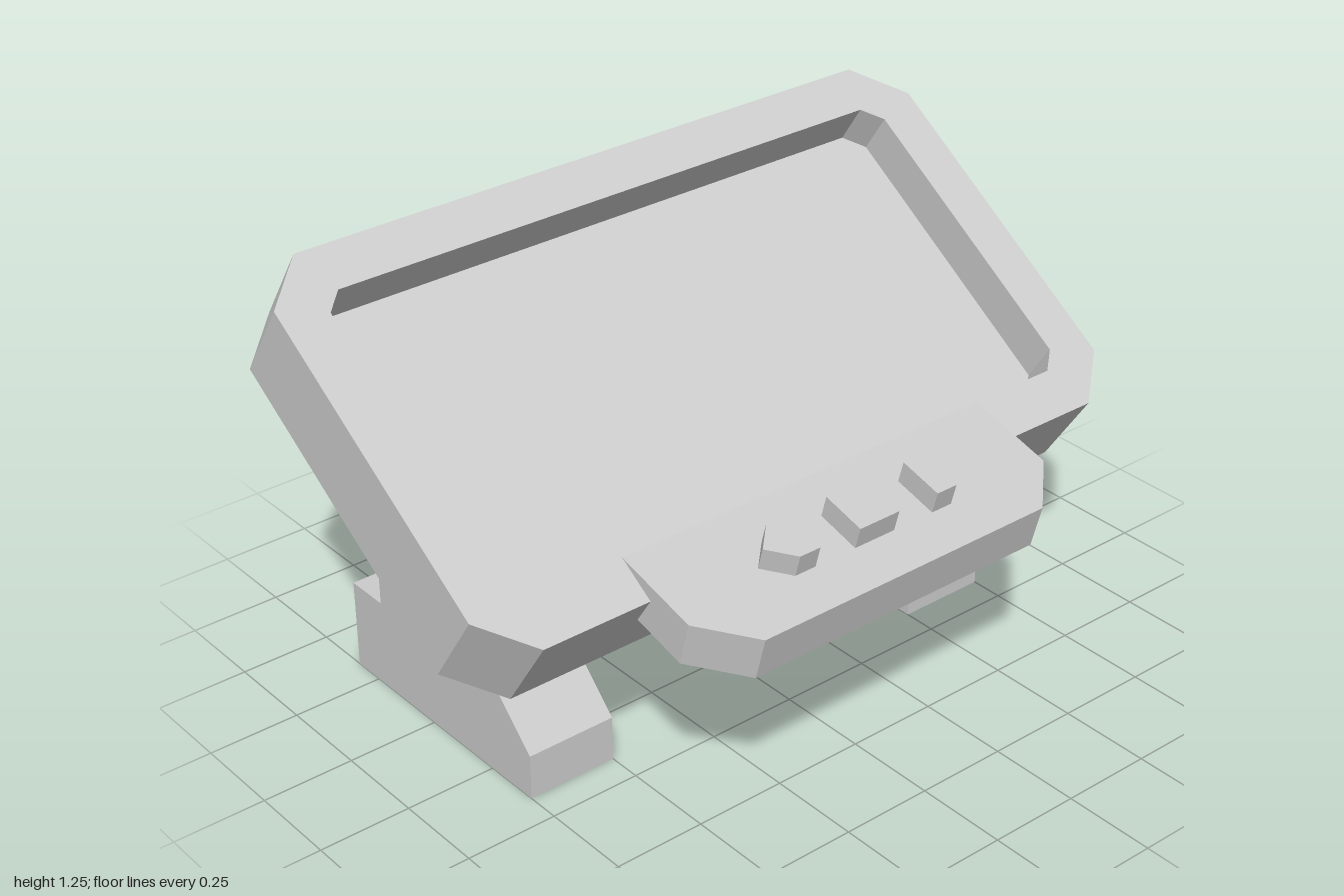
import * as THREE from 'three';

const material = new THREE.MeshStandardMaterial({ color: 0xcccccc, flatShading: true });

// Rectangle with cut corners, centred on the origin
function cutRect(w, h, c) {
  return [
    [-w + c, -h], [w - c, -h], [w, -h + c], [w, h - c],
    [w - c, h], [-w + c, h], [-w, h - c], [-w, -h + c],
  ];
}

const toPoints = (list) => list.map(([x, y]) => new THREE.Vector2(x, y));

// Outline extruded from z = from to z = to
function prism(name, outline, from, to, hole) {
  const shape = new THREE.Shape(toPoints(outline));
  if (hole) shape.holes.push(new THREE.Path(toPoints(hole)));
  const geometry = new THREE.ExtrudeGeometry(shape, { depth: to - from, bevelEnabled: false });
  geometry.translate(0, 0, from);
  const mesh = new THREE.Mesh(geometry, material);
  mesh.name = name;
  return mesh;
}

export function createModel() {
  const model = new THREE.Group();
  model.name = 'displayConsole';

  // Tilted display: local z is the face normal, local y runs up the slope
  const display = new THREE.Group();
  display.name = 'display';
  display.position.set(0, 0.933, -0.06);
  display.rotation.x = THREE.MathUtils.degToRad(-56.3);
  const opening = cutRect(0.875, 0.4395, 0.05);
  display.add(prism('frame', cutRect(1, 0.5645, 0.125), -0.25, 0, opening));
  display.add(prism('screen', opening, -0.25, -0.125));
  model.add(display);

  // Control panel: origin on its front top edge, local y runs backwards
  const controls = new THREE.Group();
  controls.name = 'controls';
  controls.position.set(0, 0.592, 0.667);
  controls.rotation.x = THREE.MathUtils.degToRad(-75);
  controls.add(prism('controlPanel', [
    [-0.445, 0], [0.445, 0], [0.57, 0.125], [0.57, 0.375], [-0.57, 0.375], [-0.57, 0.125],
  ], -0.125, 0));

  // Square middle button and two arrow buttons pointing outwards
  const b = 0.0625;
  const square = [[-b, -b], [b, -b], [b, b], [-b, b]];
  const arrow = [[-b, -b], [0, -b], [b, 0], [0, b], [-b, b]];
  const buttons = [
    ['middleButton', square, 0, 0],
    ['leftButton', arrow, 0.25, 0],
    ['rightButton', arrow, -0.25, Math.PI],
  ];
  for (const [name, outline, x, turn] of buttons) {
    const button = prism(name, outline, -0.01, 0.0625);
    button.position.set(x, 0.1875, 0);
    button.rotation.z = turn;
    controls.add(button);
  }
  model.add(controls);

  // Legs: side profile as (-z, y), post tops sunk slightly into the display
  const profile = [
    [-0.16, 0], [0.59, 0], [0.59, 0.25], [0.465, 0.25], [0.465, 0.93],
    [0.215, 0.765], [0.215, 0.25], [-0.035, 0.25], [-0.16, 0.125],
  ];
  for (const side of [1, -1]) {
    const leg = prism(side > 0 ? 'leftLeg' : 'rightLeg', profile, -0.125, 0.125);
    leg.rotation.y = Math.PI / 2;
    leg.position.x = side * 0.625;
    model.add(leg);
  }

  return model;
}
